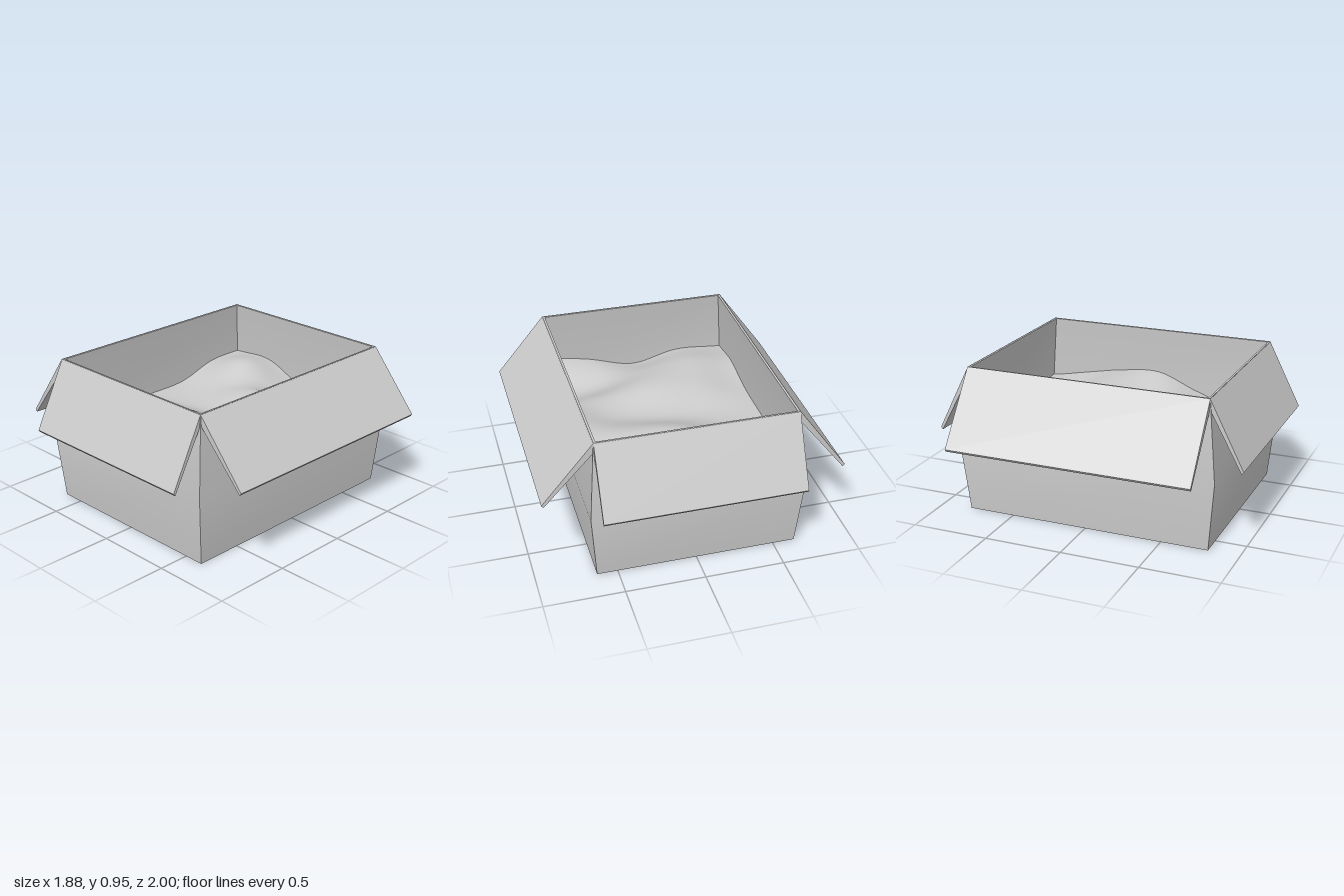
import * as THREE from 'three';

const material = new THREE.MeshStandardMaterial({ color: 0xcccccc, side: THREE.DoubleSide });
const CENTRE_X = -0.006;

// Box cross-sections, bottom to top: [half width, height, half depth]
const outer = [[0.635, 0, 0.8], [0.667, 0.44, 0.84], [0.626, 0.948, 0.787]];
const inner = [[0.61, 0.948, 0.771], [0.651, 0.44, 0.824], [0.62, 0.016, 0.785]];

function mesh(name, geometry) {
  const m = new THREE.Mesh(geometry, material);
  m.name = name;
  return m;
}

// Four wall strips through a list of cross-sections: sharp corners, smooth along the height
function walls(name, rings) {
  const corners = [[-1, 1], [1, 1], [1, -1], [-1, -1]];
  const pos = [], index = [];
  for (let s = 0; s < 4; s++) {
    const base = pos.length / 3;
    for (const [w, y, d] of rings) {
      for (const [cx, cz] of [corners[s], corners[(s + 1) % 4]]) pos.push(cx * w, y, cz * d);
    }
    for (let r = 0; r < rings.length - 1; r++) {
      const a = base + r * 2;
      index.push(a, a + 1, a + 3, a, a + 3, a + 2);
    }
  }
  const g = new THREE.BufferGeometry();
  g.setAttribute('position', new THREE.Float32BufferAttribute(pos, 3));
  g.setIndex(index);
  g.computeVertexNormals();
  return mesh(name, g);
}

function floor(name, [w, y, d], up) {
  const g = new THREE.PlaneGeometry(w * 2, d * 2).rotateX(up ? -Math.PI / 2 : Math.PI / 2);
  return mesh(name, g.translate(0, y, 0));
}

// Folded-out flap: a wedge profile (distance outward, height) extruded along its hinge
function flap(name, hinge, reach, tipY, width, angle) {
  const shape = new THREE.Shape([
    new THREE.Vector2(hinge, 0.95),
    new THREE.Vector2(hinge, 0.885),
    new THREE.Vector2(reach - 0.012, tipY - 0.016),
    new THREE.Vector2(reach, tipY),
  ]);
  const g = new THREE.ExtrudeGeometry(shape, { depth: width, bevelEnabled: false });
  return mesh(name, g.translate(0, 0, -width / 2).rotateY(angle));
}

// Heights of the crumpled filling, rows from back to front, columns along x
const heights = [
  [0.59, 0.60, 0.47, 0.50, 0.52],
  [0.58, 0.65, 0.52, 0.54, 0.57],
  [0.50, 0.54, 0.61, 0.63, 0.62],
  [0.49, 0.50, 0.53, 0.57, 0.64],
  [0.50, 0.58, 0.61, 0.57, 0.53],
  [0.55, 0.60, 0.56, 0.48, 0.46],
  [0.52, 0.54, 0.47, 0.56, 0.62],
];

// Catmull-Rom value along a list, t from 0 to 1
function spline(list, t) {
  const f = t * (list.length - 1);
  const i = Math.min(Math.floor(f), list.length - 2), u = f - i;
  const p = (k) => list[Math.max(0, Math.min(list.length - 1, k))];
  const a = p(i - 1), b = p(i), c = p(i + 1), d = p(i + 2);
  return b + 0.5 * u * (c - a + u * (2 * a - 5 * b + 4 * c - d + u * (3 * (b - c) + d - a)));
}

function filling() {
  const w = 0.648, d = 0.82;
  const g = new THREE.PlaneGeometry(w * 2, d * 2, 40, 50).rotateX(-Math.PI / 2);
  const p = g.attributes.position;
  for (let i = 0; i < p.count; i++) {
    const u = p.getX(i) / (2 * w) + 0.5, v = p.getZ(i) / (2 * d) + 0.5;
    const tu = Math.max(0, Math.min(1, u)), tv = Math.max(0, Math.min(1, v));
    p.setY(i, spline(heights.map((row) => spline(row, tu)), tv));
  }
  g.computeVertexNormals();
  return mesh('filling', g);
}

export function createModel() {
  const group = new THREE.Group();
  group.name = 'openBox';

  // Box shell
  group.add(
    walls('outerWalls', outer),
    walls('rim', [outer[2], inner[0]]),
    walls('innerWalls', inner),
    floor('underside', outer[0], false),
    floor('innerFloor', inner[2], true),
  );

  // Flaps hanging outward on all four sides
  group.add(
    flap('leftFlap', 0.624, 0.944, 0.57, 1.574, 0),
    flap('rightFlap', 0.624, 0.94, 0.515, 1.574, Math.PI),
    flap('frontFlap', 0.785, 1.0, 0.528, 1.248, -Math.PI / 2),
    flap('backFlap', 0.785, 1.0, 0.525, 1.248, Math.PI / 2),
  );

  // Crumpled contents
  group.add(filling());
  for (const part of group.children) part.position.x = CENTRE_X;
  return group;
}
